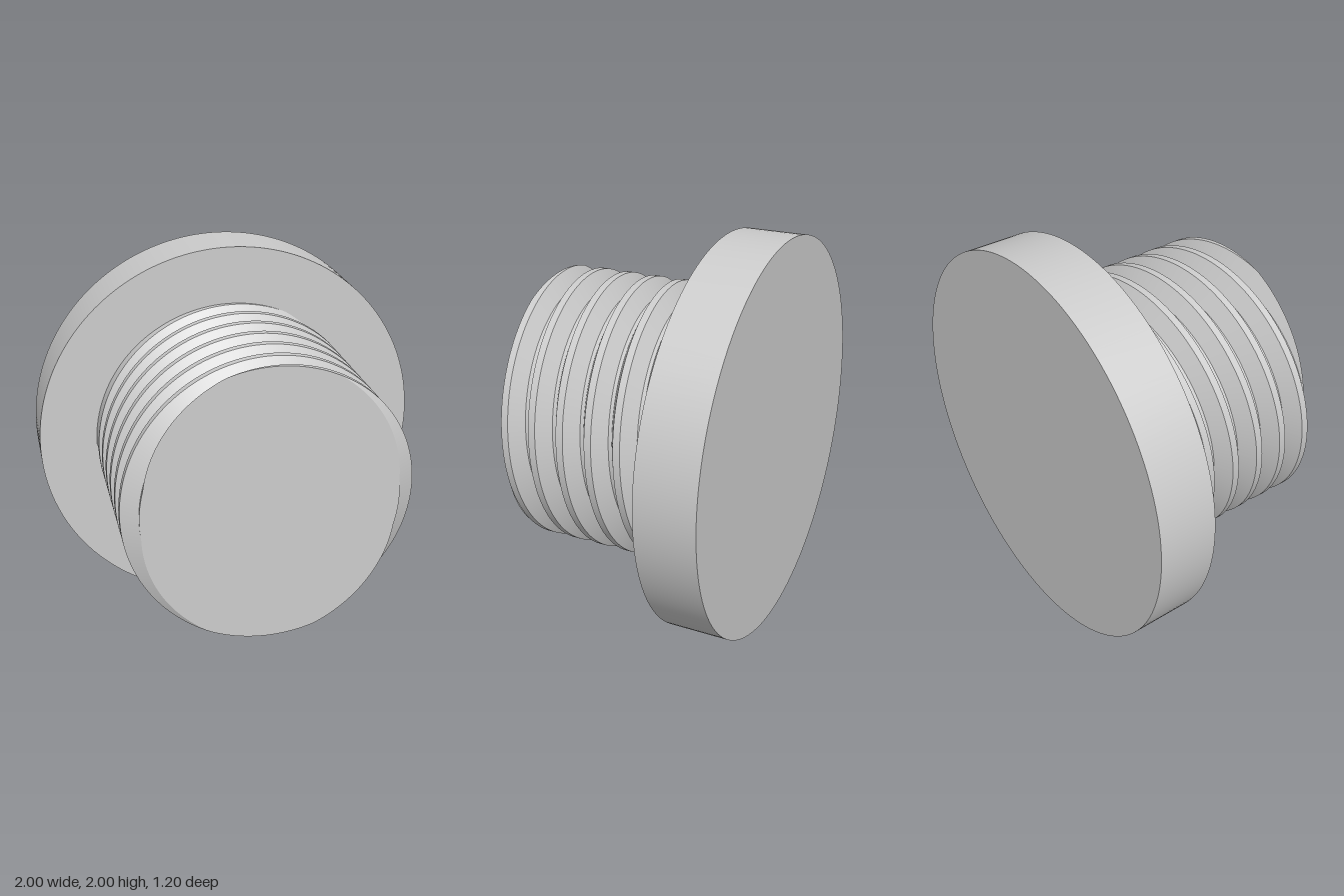
import * as THREE from 'three';

const CREST = 0.708, ROOT = 0.626;         // thread radii
const BACK = -0.3, FRONT = 0.6;            // shank extent in z
const PITCH = 0.15;                        // two starts, so half a turn advances one pitch
const ROOT_HALF = 0.0094, CREST_HALF = 0.018;
const ROOT_Z = -0.297;                     // where each groove begins
const STEPS = 120;

const material = new THREE.MeshStandardMaterial({ color: 0xcccccc, side: THREE.DoubleSide });

// Shank radius at angle t (0..PI) and height z; grooves before the start are not cut
function radiusAt(t, z) {
  const u = z - ROOT_Z - PITCH * t / Math.PI;
  const k = Math.round(u / PITCH);
  if (k < 0) return CREST;
  const f = (Math.abs(u - k * PITCH) - ROOT_HALF) / (PITCH / 2 - CREST_HALF - ROOT_HALF);
  return ROOT + (CREST - ROOT) * THREE.MathUtils.clamp(f, 0, 1);
}

function makeGeometry(positions, index) {
  const g = new THREE.BufferGeometry();
  g.setAttribute('position', new THREE.Float32BufferAttribute(positions, 3));
  g.setIndex(index);
  g.computeVertexNormals();
  return g;
}

// Half a turn of helical strips, one per crest, flank and root
function threadGeometry() {
  const edges = [];
  for (let k = -2; k <= 6; k++) {
    const z = ROOT_Z + k * PITCH;
    edges.push(z - ROOT_HALF, z + ROOT_HALF, z + PITCH / 2 - CREST_HALF, z + PITCH / 2 + CREST_HALF);
  }
  const pos = [], index = [];
  for (let e = 0; e < edges.length - 1; e++) {
    const base = pos.length / 3, open = [];
    for (let i = 0; i <= STEPS; i++) {
      const t = Math.PI * i / STEPS;
      const [lo, hi] = [edges[e], edges[e + 1]].map(
        (z) => THREE.MathUtils.clamp(z + PITCH * t / Math.PI, BACK, FRONT));
      open.push(hi - lo > 1e-6);
      for (const z of [lo, hi]) {
        const r = radiusAt(t, z);
        pos.push(r * Math.cos(t), r * Math.sin(t), z);
      }
      if (i > 0 && (open[i] || open[i - 1])) {
        const a = base + 2 * (i - 1);
        index.push(a, a + 2, a + 3, a, a + 3, a + 1);
      }
    }
  }
  return makeGeometry(pos, index);
}

// Half of the flat end face, following the thread outline
function endGeometry() {
  const pos = [0, 0, FRONT], index = [];
  for (let i = 0; i <= STEPS; i++) {
    const t = Math.PI * i / STEPS, r = radiusAt(t, FRONT);
    pos.push(r * Math.cos(t), r * Math.sin(t), FRONT);
    if (i > 0) index.push(0, i, i + 1);
  }
  return makeGeometry(pos, index);
}

// Small wall where a groove begins beside the head
function grooveStopGeometry() {
  return makeGeometry([
    ROOT, 0, BACK,
    CREST, 0, BACK,
    CREST, 0, ROOT_Z + PITCH / 2 - CREST_HALF,
    ROOT, 0, ROOT_Z + ROOT_HALF,
  ], [0, 2, 1, 0, 3, 2]);
}

export function createModel() {
  const model = new THREE.Group();
  model.name = 'threadedPlug';

  // Round head
  const head = new THREE.Mesh(new THREE.CylinderGeometry(1, 1, 0.3, 160), material);
  head.name = 'head';
  head.rotation.x = Math.PI / 2;
  head.position.set(0, 1, -0.45);
  model.add(head);

  // Shank: two identical halves, turned half a revolution apart
  const parts = { thread: threadGeometry(), endFace: endGeometry(), grooveStop: grooveStopGeometry() };
  for (let h = 0; h < 2; h++) {
    const half = new THREE.Group();
    half.name = h ? 'shankLowerHalf' : 'shankUpperHalf';
    for (const [name, geometry] of Object.entries(parts)) {
      const mesh = new THREE.Mesh(geometry, material);
      mesh.name = name;
      half.add(mesh);
    }
    half.rotation.z = h * Math.PI;
    half.position.y = 1;
    model.add(half);
  }
  return model;
}
